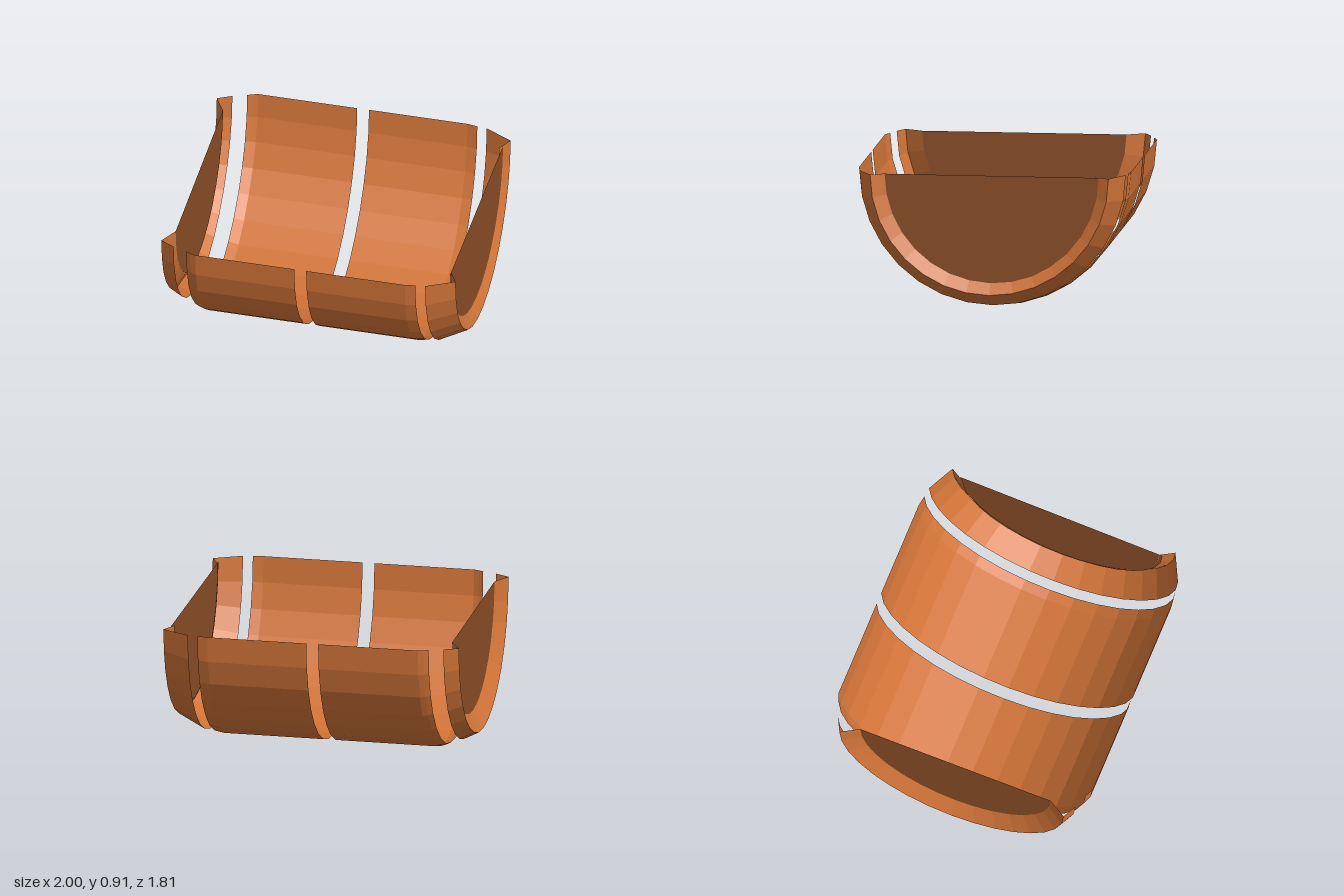
import * as THREE from 'three';

const R = 0.907;      // shell radius, also the height of the open rim
const SIDES = 16;     // facets around the half circle

export function createModel() {
  const group = new THREE.Group();
  const wood = new THREE.MeshStandardMaterial({ color: 0xd27438, flatShading: true, side: THREE.DoubleSide });
  wood.name = 'orange wood';
  const dark = new THREE.MeshStandardMaterial({ color: 0x8b4e27, flatShading: true, side: THREE.DoubleSide });
  dark.name = 'dark wood';

  const add = (name, geometry, material) => {
    const mesh = new THREE.Mesh(geometry, material);
    mesh.name = name;
    mesh.position.y = R;
    group.add(mesh);
    return mesh;
  };

  // Half-round shell swept around the x axis from [x, radius] pairs
  const shell = (name, profile) => {
    const points = profile.map(([x, r]) => new THREE.Vector2(r, x));
    const geometry = new THREE.LatheGeometry(points, SIDES, 0, Math.PI);
    geometry.rotateZ(-Math.PI / 2);
    return add(name, geometry, wood);
  };

  // Two main bands, slightly drawn in at their outer ends
  shell('rightBand', [[-0.812, 0.88], [-0.78, 0.895], [-0.745, R], [-0.07, R]]);
  shell('leftBand', [[0.01, R], [0.68, R], [0.75, 0.895]]);

  // Tapered end hoops with a lip folded inwards
  shell('rightEndHoop', [[-0.905, 0.848], [-1, 0.8], [-0.93, 0.68]]);
  shell('leftEndHoop', [[0.815, 0.888], [1, 0.795], [0.945, 0.7]]);

  // Half-round end boards set inside the lips
  const board = (name, x, r) => {
    const geometry = new THREE.CircleGeometry(r, SIDES, Math.PI, Math.PI);
    geometry.rotateY(Math.PI / 2);
    const mesh = add(name, geometry, dark);
    mesh.position.x = x;
    return mesh;
  };
  board('rightEndBoard', -0.93, 0.682);
  board('leftEndBoard', 0.956, 0.725).rotation.y = -0.012;

  return group;
}
